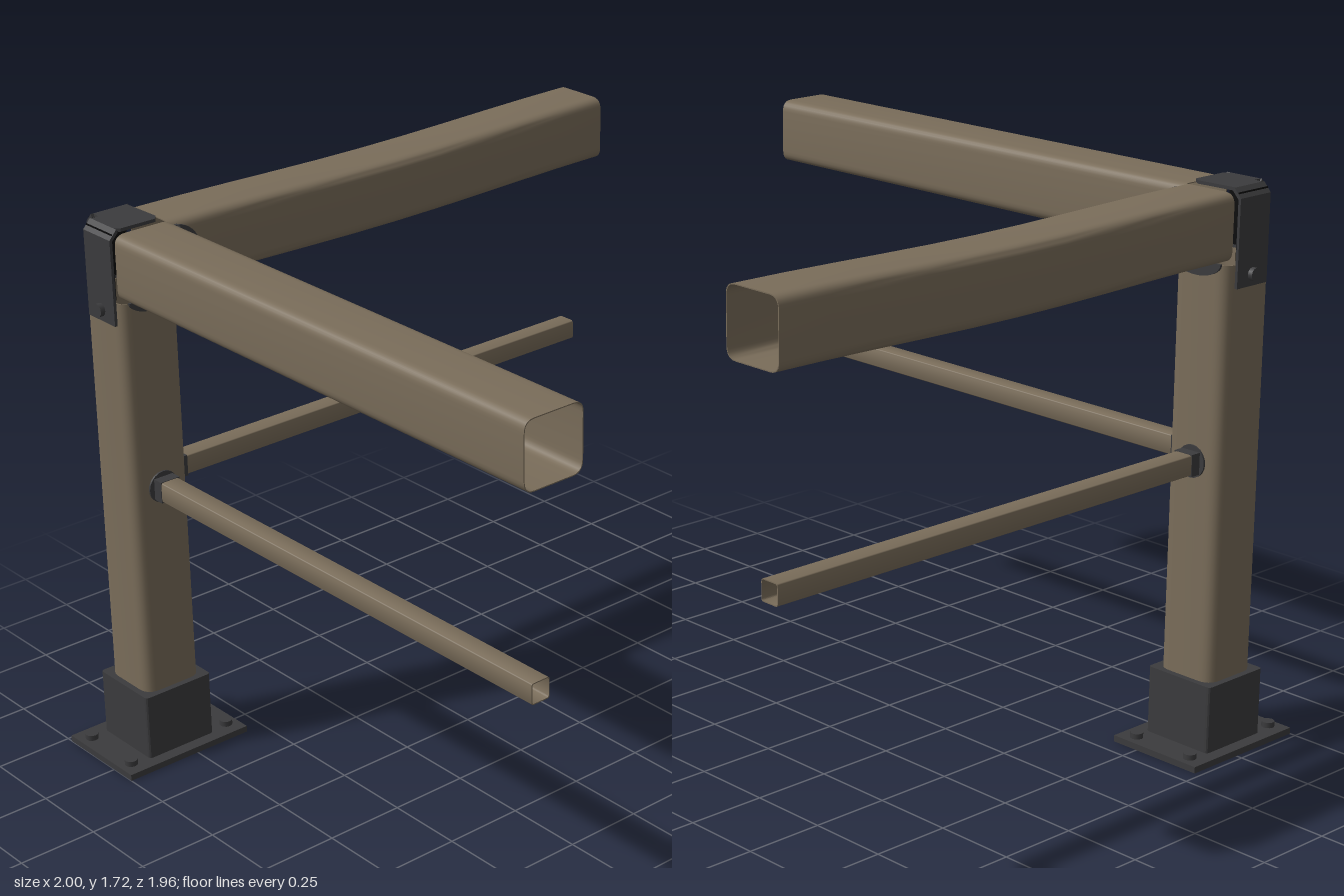
import * as THREE from 'three';
import { toCreasedNormals } from 'three/addons/utils/BufferGeometryUtils.js';

const mat = (name, color) => {
  const m = new THREE.MeshStandardMaterial({ color, side: THREE.DoubleSide });
  m.name = name;
  return m;
};

// Rounded rectangle outline centred on the origin
function roundedRect(Type, w, h, r) {
  const s = new Type(), x = w / 2, y = h / 2;
  s.moveTo(x, -y + r);
  s.lineTo(x, y - r);
  s.quadraticCurveTo(x, y, x - r, y);
  s.lineTo(-x + r, y);
  s.quadraticCurveTo(-x, y, -x, y - r);
  s.lineTo(-x, -y + r);
  s.quadraticCurveTo(-x, -y, -x + r, -y);
  s.lineTo(x - r, -y);
  s.quadraticCurveTo(x, -y, x, -y + r);
  return s;
}

// Hollow square tube running along +z, optionally sagging in the middle
function tube(size, radius, length, sag = 0) {
  const wall = 0.003;
  const shape = roundedRect(THREE.Shape, size, size, radius);
  shape.holes.push(roundedRect(THREE.Path, size - 2 * wall, size - 2 * wall, radius - wall));
  const g = new THREE.ExtrudeGeometry(shape, { depth: length, steps: sag ? 10 : 1, bevelEnabled: false, curveSegments: 6 });
  if (sag) {
    const p = g.attributes.position;
    for (let i = 0; i < p.count; i++) {
      const t = p.getZ(i) / length;
      p.setY(i, p.getY(i) - sag * Math.sin(Math.PI * t) ** 2);
    }
  }
  return toCreasedNormals(g, 0.7);
}

export function createModel() {
  const model = new THREE.Group();
  model.name = 'cornerRailing';
  const wood = mat('taupe', 0x7a6d5a);
  const metal = mat('darkGrey', 0x3b3b3d);
  const black = mat('black', 0x0b0b0c);
  const CX = -0.78, CZ = -0.82;

  const add = (name, geo, material, x, y, z, parent = model) => {
    const m = new THREE.Mesh(geo, material);
    m.name = name;
    m.position.set(x, y, z);
    parent.add(m);
    return m;
  };
  const box = (w, h, d) => new THREE.BoxGeometry(w, h, d);

  // Foot: plate, boot and four bolts
  add('basePlate', box(0.44, 0.02, 0.32), metal, CX, 0.01, CZ);
  const boot = new THREE.ExtrudeGeometry(roundedRect(THREE.Shape, 0.24, 0.24, 0.012),
    { depth: 0.21, bevelEnabled: false, curveSegments: 3 }).rotateX(-Math.PI / 2);
  add('postBoot', boot, metal, CX, 0.02, CZ);
  for (const sx of [-1, 1]) for (const sz of [-1, 1]) {
    add('baseBolt', new THREE.CylinderGeometry(0.02, 0.02, 0.018, 12), metal, CX + sx * 0.18, 0.028, CZ + sz * 0.105);
  }

  // Post and two top beams
  add('post', tube(0.2, 0.045, 1.3).rotateX(-Math.PI / 2), wood, CX, 0.2, CZ);
  add('sideBeam', tube(0.2, 0.035, 1.7, 0.013).rotateY(Math.PI / 2), wood, -0.7, 1.61, CZ);
  add('frontBeam', tube(0.2, 0.035, 1.72), wood, CX, 1.61, -0.74);

  // Lower rails, each with a flange and sleeve; built along +z from the post face
  function rail(name, length) {
    const g = new THREE.Group();
    g.name = name;
    add('railBar', tube(0.064, 0.01, length), wood, 0, 0, 0, g);
    add('railSleeve', box(0.067, 0.067, 0.04), metal, 0, 0, 0.02, g);
    add('railFlange', new THREE.CylinderGeometry(0.05, 0.05, 0.008, 20).rotateX(Math.PI / 2), metal, 0, 0, 0.002, g);
    add('railPlug', new THREE.CircleGeometry(0.03, 8, Math.PI / 8), black, 0, 0, 0.042, g);
    model.add(g);
    return g;
  }
  rail('frontRail', 1.655).position.set(CX, 0.903, -0.72);
  const sideRail = rail('sideRail', 1.63);
  sideRail.position.set(-0.68, 0.903, CZ);
  sideRail.rotation.y = Math.PI / 2;

  // Corner cap: top plate with its outer corner cut away
  const cap = new THREE.Shape([[-0.865, -0.875], [-0.84, -0.875], [-0.835, -0.905], [-0.72, -0.905],
    [-0.715, -0.77], [-0.73, -0.75], [-0.85, -0.75], [-0.865, -0.765]].map(([x, z]) => new THREE.Vector2(x, -z)));
  const capGeo = new THREE.ExtrudeGeometry(cap, { depth: 0.01, bevelEnabled: false }).rotateX(-Math.PI / 2);
  add('capPlate', capGeo, metal, 0, 1.712, 0);

  // Cap legs folding down the two outer sides; local outward direction is -x
  function leg(name) {
    const g = new THREE.Group();
    g.name = name;
    const profile = new THREE.Shape([[0.025, 0.29], [0, 0.262], [0, 0], [0.009, 0], [0.009, 0.258], [0.03, 0.28]]
      .map(([x, y]) => new THREE.Vector2(x, y)));
    const strap = new THREE.ExtrudeGeometry(profile, { depth: 0.13, bevelEnabled: false }).translate(0, 0, -0.065);
    add('legStrap', strap, metal, 0, 0, 0, g);
    add('legLining', box(0.002, 0.2, 0.126), black, 0.011, 0.178, 0, g);
    add('legBolt', new THREE.CylinderGeometry(0.02, 0.02, 0.016, 12).rotateZ(Math.PI / 2), metal, -0.007, 0.035, 0, g);
    model.add(g);
    return g;
  }
  leg('rightLeg').position.set(-0.89, 1.432, -0.815);
  const backLeg = leg('backLeg');
  backLeg.position.set(CX, 1.432, -0.93);
  backLeg.rotation.y = -Math.PI / 2;

  // Inner corner gusset: thin half-ellipse tabs on the beams and the post
  const tab = (rx, ry, from) => {
    const s = new THREE.Shape();
    s.absellipse(0, 0, rx, ry, from, from + Math.PI, false, 0);
    s.closePath();
    return new THREE.ExtrudeGeometry(s, { depth: 0.008, bevelEnabled: false, curveSegments: 12 });
  };
  add('sideBeamTab', tab(0.085, 0.095, -Math.PI / 2), metal, -0.685, 1.605, -0.722);
  add('frontBeamTab', tab(0.055, 0.095, Math.PI / 2).rotateY(Math.PI / 2), metal, -0.682, 1.605, -0.725);
  add('postFrontTab', tab(0.09, 0.04, Math.PI), metal, -0.77, 1.505, -0.722);
  add('postSideTab', tab(0.09, 0.045, Math.PI).rotateY(Math.PI / 2), metal, -0.682, 1.505, -0.81);

  return model;
}
